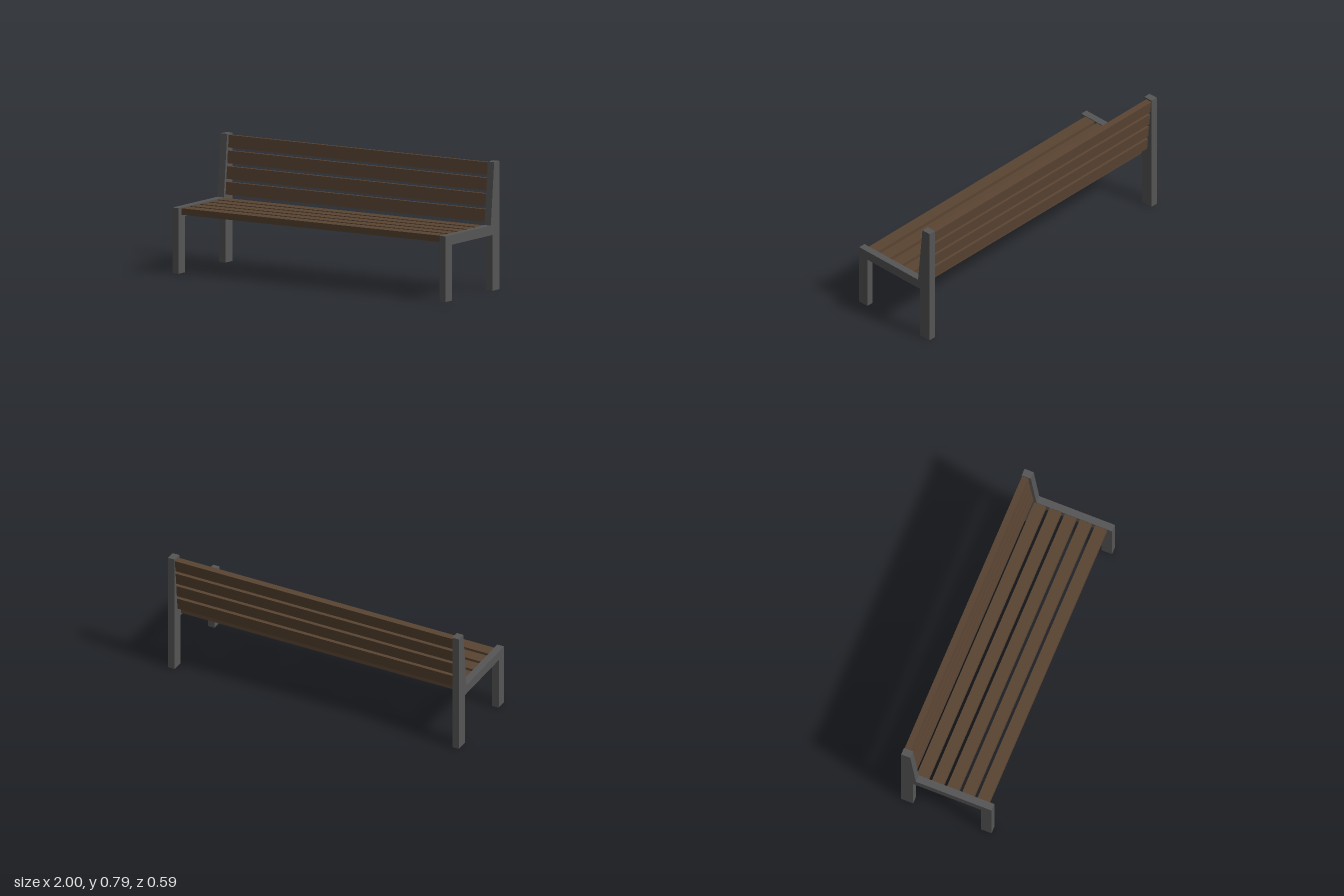
import * as THREE from 'three';

export function createModel() {
  const metal = new THREE.MeshStandardMaterial({ color: 0x555555 });
  metal.name = 'grey metal';
  const wood = new THREE.MeshStandardMaterial({ color: 0x5a4432 });
  wood.name = 'brown wood';

  const bench = new THREE.Group();
  bench.name = 'bench';

  // End frames: one side profile as [z, y], extruded across x
  const frameWidth = 0.046;
  const profile = [
    [0.297, 0], [0.297, 0.405], [-0.2, 0.405], [-0.237, 0.792], [-0.297, 0.792],
    [-0.297, 0], [-0.218, 0], [-0.218, 0.345], [0.228, 0.345], [0.228, 0],
  ];
  const shape = new THREE.Shape(profile.map(([z, y]) => new THREE.Vector2(-z, y)));
  const frameGeometry = new THREE.ExtrudeGeometry(shape, { depth: frameWidth, bevelEnabled: false });
  frameGeometry.rotateY(Math.PI / 2);
  for (const [name, x] of [['leftFrame', 1 - frameWidth], ['rightFrame', -1]]) {
    const frame = new THREE.Mesh(frameGeometry, metal);
    frame.name = name;
    frame.position.x = x;
    bench.add(frame);
  }

  const slatLength = 2 - 2 * frameWidth;

  // Seat slats, front to back
  const seat = new THREE.Group();
  seat.name = 'seat';
  const seatGeometry = new THREE.BoxGeometry(slatLength, 0.04, 0.078);
  for (let i = 0; i < 5; i++) {
    const slat = new THREE.Mesh(seatGeometry, wood);
    slat.name = 'seatSlat' + (i + 1);
    slat.position.set(0, 0.38, 0.225 - i * 0.1);
    seat.add(slat);
  }
  bench.add(seat);

  // Backrest slats, leaning parallel to the front edge of the posts
  const backrest = new THREE.Group();
  backrest.name = 'backrest';
  backrest.position.set(0, 0.6, -0.257);
  backrest.rotation.x = -Math.atan(0.037 / 0.387);
  const backGeometry = new THREE.BoxGeometry(slatLength, 0.077, 0.04);
  for (let i = 0; i < 4; i++) {
    const slat = new THREE.Mesh(backGeometry, wood);
    slat.name = 'backSlat' + (i + 1);
    slat.position.y = (i - 1.5) * 0.096;
    backrest.add(slat);
  }
  bench.add(backrest);

  return bench;
}
